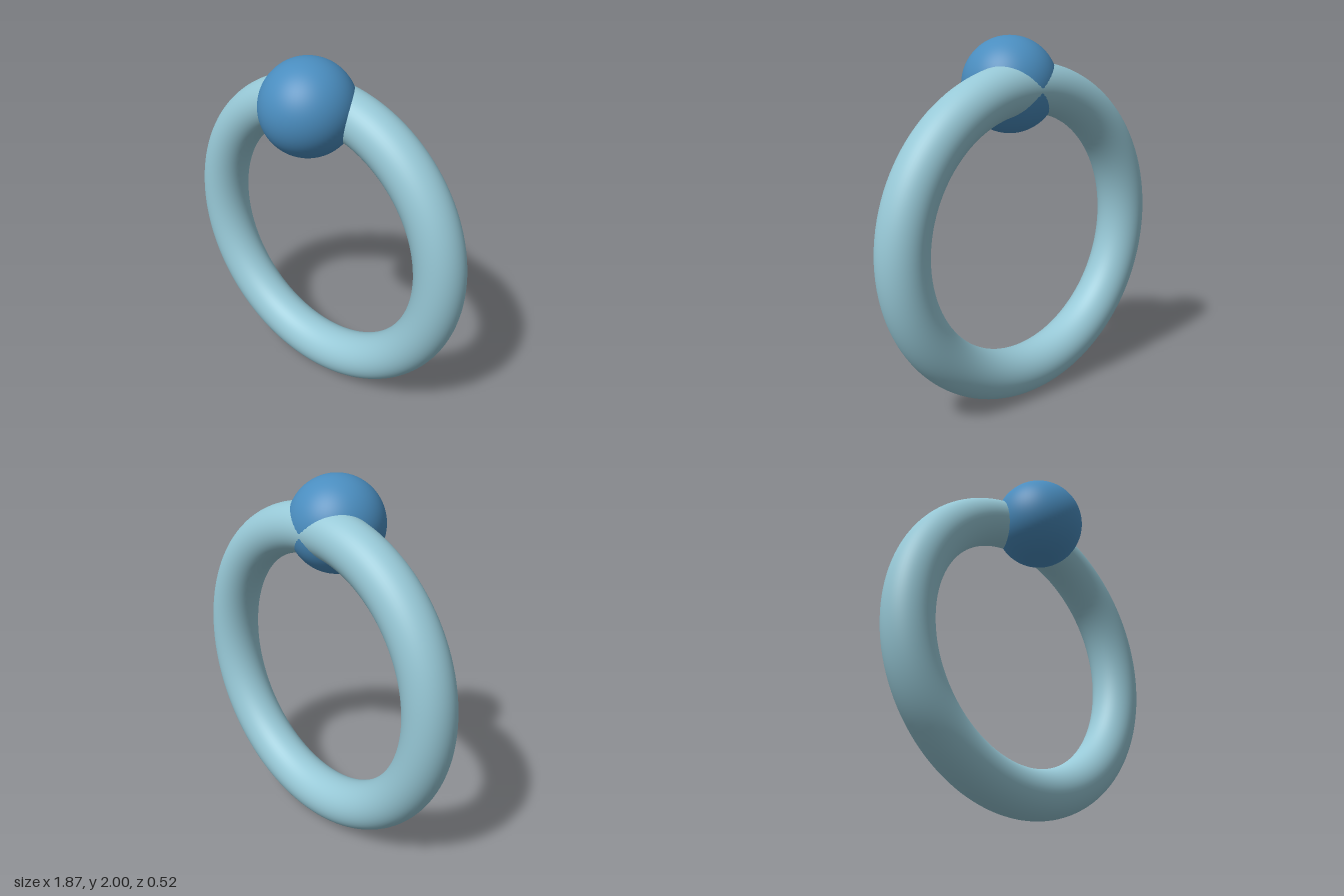
import * as THREE from 'three';

export function createModel() {
  const model = new THREE.Group();

  const addPart = (name, geometry, color, y, z) => {
    const mesh = new THREE.Mesh(geometry, new THREE.MeshStandardMaterial({ color }));
    mesh.name = name;
    mesh.position.set(0, y, z);
    model.add(mesh);
  };

  // Upright round ring, set back from the ball
  const ringRadius = 0.798, tubeRadius = 0.137;
  addPart('ring', new THREE.TorusGeometry(ringRadius, tubeRadius, 48, 128),
    0x97c8d6, ringRadius + tubeRadius, -0.122);

  // Ball sunk into the front of the ring at its top
  const ballRadius = 0.259;
  addPart('ball', new THREE.SphereGeometry(ballRadius, 64, 48),
    0x4a8dbf, 2 - ballRadius, 0);

  return model;
}
